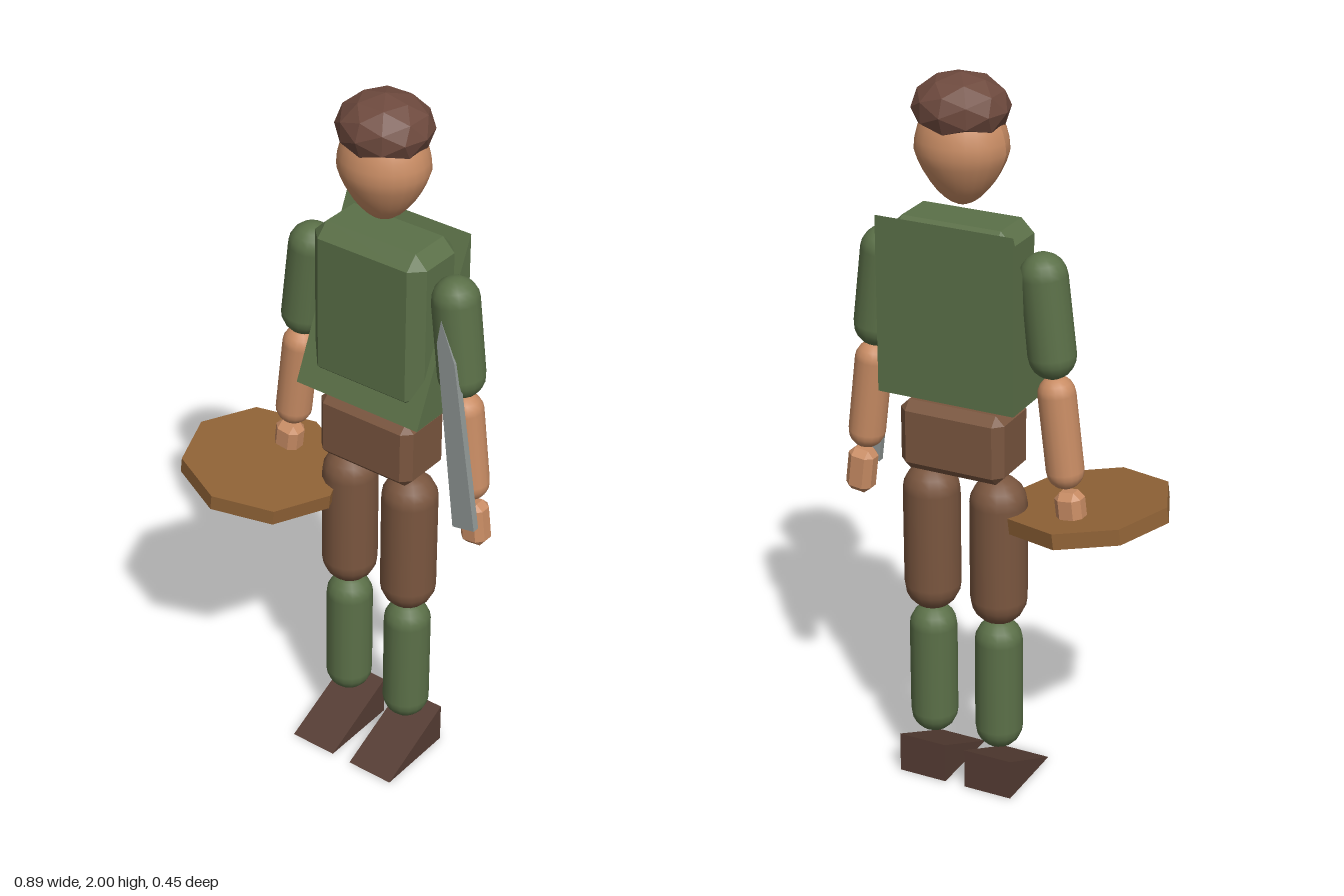
import * as THREE from 'three';
import { ConvexGeometry } from 'three/addons/geometries/ConvexGeometry.js';

const CX = 0.088, CZ = -0.103; // body axis
const TILT = 0.12;             // outward lean of the arms

const material = (color, flat = false) => new THREE.MeshStandardMaterial({ color, flatShading: flat });
const skin = material(0xc88c64), skinFlat = material(0xc88c64, true);
const green = material(0x5b7048), greenFlat = material(0x5b7048, true);
const brown = material(0x7a563f), brownFlat = material(0x7a563f, true);
const hairMat = material(0x6e4a3e, true), bootMat = material(0x553c33, true);
const woodMat = material(0x8f6236, true), steelMat = material(0x8f9694, true);

// Box with every edge and corner chamfered
function chamferBox(w, h, d, c) {
  const points = [];
  for (const x of [-1, 1]) for (const y of [-1, 1]) for (const z of [-1, 1]) {
    const X = w / 2, Y = h / 2, Z = d / 2;
    points.push(
      new THREE.Vector3(x * X, y * (Y - c), z * (Z - c)),
      new THREE.Vector3(x * (X - c), y * Y, z * (Z - c)),
      new THREE.Vector3(x * (X - c), y * (Y - c), z * Z));
  }
  return new ConvexGeometry(points);
}

// Right-angled wedge: upright at the back, sloping down to the front
function wedge(width, height, zBack, zFront) {
  const shape = new THREE.Shape();
  shape.moveTo(zBack, 0).lineTo(zFront, 0).lineTo(zBack, height).closePath();
  return new THREE.ExtrudeGeometry(shape, { depth: width, bevelEnabled: false })
    .translate(0, 0, -width / 2).rotateY(-Math.PI / 2);
}

// Capsule by total length
const limb = (r, length) => new THREE.CapsuleGeometry(r, length - 2 * r, 5, 16);

function reshape(geometry, rule) {
  const p = geometry.attributes.position, v = new THREE.Vector3();
  for (let i = 0; i < p.count; i++) {
    rule(v.fromBufferAttribute(p, i));
    p.setXYZ(i, v.x, v.y, v.z);
  }
  geometry.computeVertexNormals();
  return geometry;
}

export function createModel() {
  const model = new THREE.Group();
  model.name = 'shieldBearer';
  const add = (name, geometry, mat, x, y, z, tilt = 0) => {
    const mesh = new THREE.Mesh(geometry, mat);
    mesh.name = name;
    mesh.position.set(x, y, z);
    mesh.rotation.z = tilt;
    model.add(mesh);
    return mesh;
  };

  // Egg-shaped head, narrowing to the chin
  const head = reshape(new THREE.SphereGeometry(1, 24, 16), v => {
    const taper = v.y < 0 ? 1 + 0.3 * v.y : 1;
    v.set(v.x * 0.123 * taper, v.y * 0.145, v.z * 0.112 * taper);
  });
  add('head', head, skin, CX, 1.803, CZ);

  // Faceted hair cap with a flat underside
  const hair = reshape(new THREE.IcosahedronGeometry(1, 1), v => {
    v.set(v.x * 0.127, Math.max(v.y * 0.088, -0.047), v.z * 0.122);
  });
  add('hair', hair, hairMat, CX, 1.912, -0.105);

  // Torso, sloping tunic back and hips
  add('torso', chamferBox(0.35, 0.45, 0.188, 0.036), greenFlat, 0.09, 1.4, -0.105);
  add('tunicBack', wedge(0.388, 0.48, -0.207, 0.007), greenFlat, 0.089, 1.15, 0);
  add('hips', chamferBox(0.3, 0.195, 0.177, 0.025), brownFlat, 0.09, 1.027, CZ);

  // Paired limbs
  for (const [side, s] of [['left', 1], ['right', -1]]) {
    const legX = CX + s * 0.099, tilt = s * TILT;
    add(side + 'Thigh', limb(0.077, 0.43), brown, legX, 0.71, CZ);
    add(side + 'Shin', limb(0.065, 0.39), green, legX, 0.31, CZ);
    add(side + 'Boot', wedge(0.139, 0.115, -0.177, 0.063), bootMat, legX, 0, 0);
    add(side + 'UpperArm', limb(0.063, 0.335), green, CX + s * 0.239, 1.397, CZ, tilt);
    add(side + 'Forearm', limb(0.05, 0.31), skin, CX + s * 0.278, 1.085, CZ, tilt);
    add(side + 'Hand', chamferBox(0.075, 0.125, 0.065, 0.018), skinFlat,
      CX + s * 0.309, 0.862, CZ, tilt);
  }

  // Octagonal shield carried flat in the right hand
  add('shield', new THREE.CylinderGeometry(0.225, 0.225, 0.044, 8), woodMat, -0.225, 0.833, 0, -TILT);

  // Tapered blade in the left hand, pointing up
  const blade = new THREE.Shape([[0.37, 0.868], [0.437, 0.88], [0.36, 1.36], [0.316, 1.47], [0.305, 1.4]]
    .map(([x, y]) => new THREE.Vector2(x, y)));
  add('blade', new THREE.ExtrudeGeometry(blade, { depth: 0.02, bevelEnabled: false }), steelMat, 0, 0, -0.059);

  return model;
}
